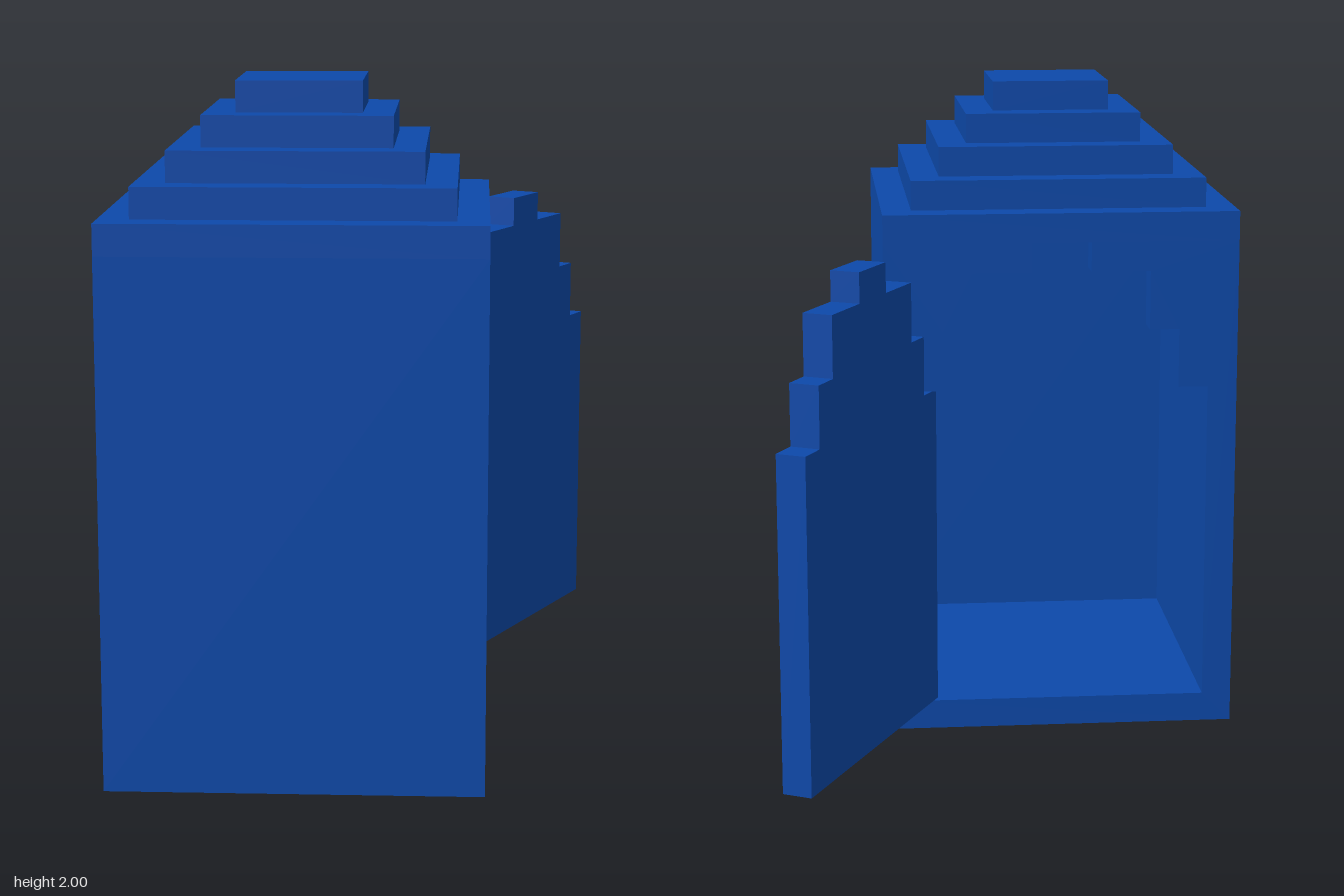
import * as THREE from 'three';

const U = 1 / 11; // one block
const blue = new THREE.MeshStandardMaterial({ color: 0x0d49aa });
blue.name = 'blue';

// Stepped arch outline in blocks, shared by the door and its doorway
const ARCH = [[4, 16], [4, 15], [2, 15], [2, 13], [1, 13], [1, 11], [0, 11], [0, 0],
  [10, 0], [10, 11], [9, 11], [9, 13], [8, 13], [8, 15], [6, 15], [6, 16]];

const toShape = (pts) => new THREE.Shape(pts.map(([x, y]) => new THREE.Vector2(x * U, y * U)));
const slab = (shape) => new THREE.ExtrudeGeometry(shape, { depth: U, bevelEnabled: false });

const squarePoints = (w) => [[-w / 2, -w / 2], [w / 2, -w / 2], [w / 2, w / 2], [-w / 2, w / 2]];

export function createModel() {
  const group = new THREE.Group();
  const booth = new THREE.Group();
  booth.name = 'booth';
  booth.position.set(-0.164, 0, 0.393);
  group.add(booth);

  const add = (parent, name, geometry, x = 0, y = 0, z = 0) => {
    const mesh = new THREE.Mesh(geometry, blue);
    mesh.name = name;
    mesh.position.set(x * U, y * U, z * U);
    parent.add(mesh);
    return mesh;
  };
  const box = (name, w, h, d, x, y, z) =>
    add(booth, name, new THREE.BoxGeometry(w * U, h * U, d * U), x, y, z);

  // Floor and three plain walls
  box('floor', 10, 1, 10, 0, 0.5, 0);
  box('frontWall', 12, 17, 1, 0, 8.5, 5.5);
  box('leftWall', 1, 17, 10, 5.5, 8.5, 0);
  box('rightWall', 1, 17, 10, -5.5, 8.5, 0);

  // Back wall with the stepped doorway
  const doorway = [...ARCH].reverse().map(([x, y]) => [x + 1, y + 1]);
  const wall = toShape([[0, 0], [12, 0], [12, 17], ...doorway, [0, 17]]);
  add(booth, 'backWall', slab(wall), -6, 0, -6);

  // Hollow stepped roof
  for (let k = 0; k < 4; k++) {
    const ring = toShape(squarePoints(12 - 2 * k));
    ring.holes.push(toShape(squarePoints(8 - 2 * k)));
    add(booth, 'roofTier' + (k + 1), slab(ring).rotateX(-Math.PI / 2), 0, 17 + k, 0);
  }
  box('roofCap', 4, 1, 4, 0, 21.5, 0);

  // Open door, swung out at the back
  const door = add(group, 'door', slab(toShape(ARCH)));
  door.position.set(0.221, U, -0.125);
  door.rotation.y = Math.atan2(2, 1);

  return group;
}
